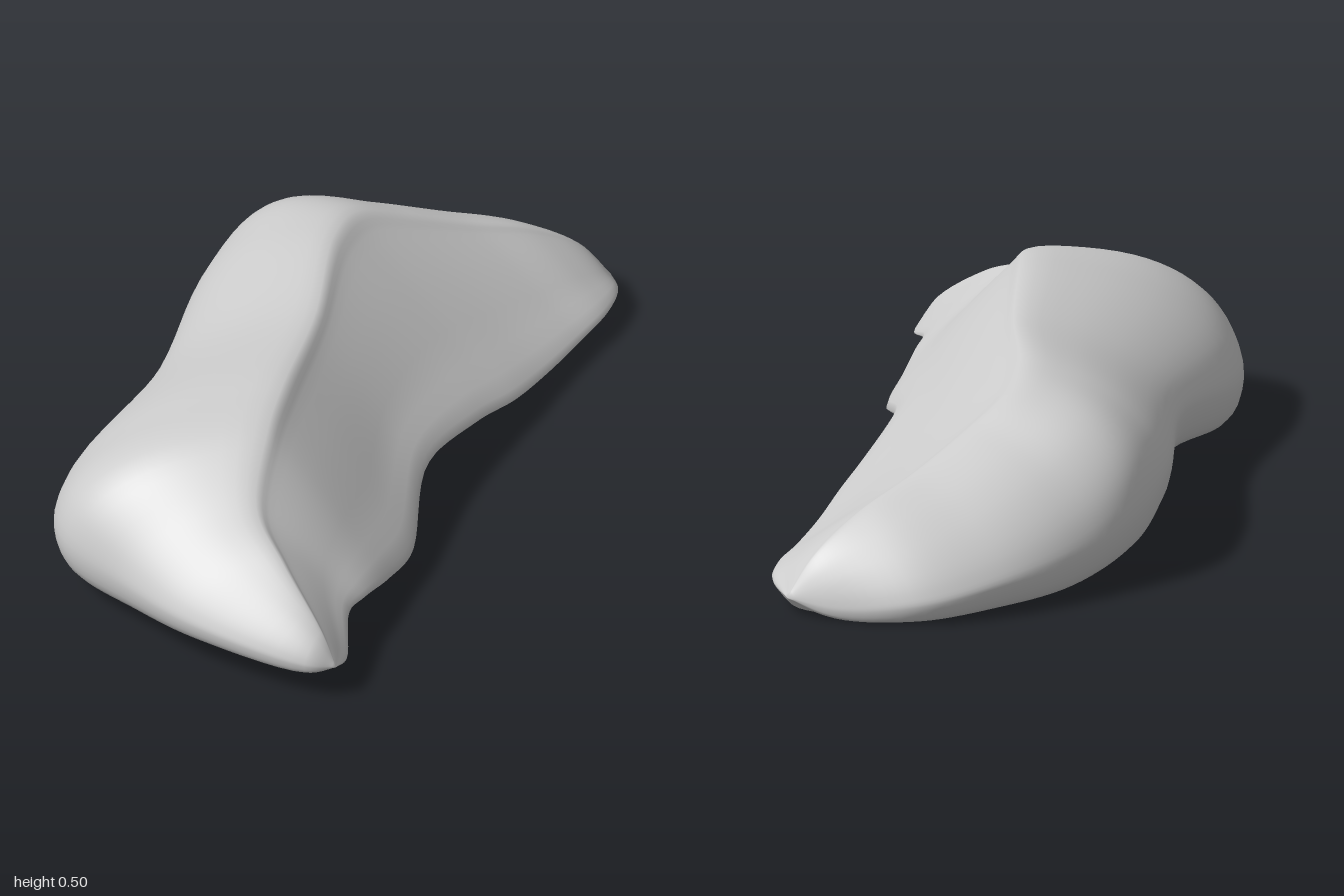
import * as THREE from 'three';

// Cross-sections along the crest, from the front-left spur to the right tip:
// front foot [x, y, z], crest [x, y, z], back foot [x, y, z, fullness of the back slope]
const SECTIONS = [
  [[-0.64, 0.08, 0.79], [-0.70, 0.17, 0.76], [-0.77, 0.08, 0.785, 1.5]],
  [[-0.54, 0.12, 0.66], [-0.70, 0.29, 0.58], [-0.93, 0.085, 0.49, 1.5]],
  [[-0.45, 0.11, 0.61], [-0.67, 0.36, 0.42], [-0.975, 0.07, 0.25, 1.8]],
  [[-0.33, 0.08, 0.54], [-0.53, 0.47, 0.27], [-1.0, 0.06, 0.0, 2.1]],
  [[-0.20, 0.07, 0.46], [-0.40, 0.495, 0.15], [-0.86, 0.03, -0.20, 1.8]],
  [[0.00, 0.145, 0.24], [-0.12, 0.48, -0.10], [-0.42, 0.1, -0.41, 1.6]],
  [[0.27, 0.115, 0.10], [0.13, 0.49, -0.37], [-0.07, 0.1, -0.70, 1.8]],
  [[0.42, 0.085, 0.04], [0.27, 0.465, -0.46], [0.15, 0.07, -0.815, 2.2]],
  [[0.58, 0.065, -0.04], [0.43, 0.395, -0.46], [0.37, 0.03, -0.82, 1.8]],
  [[0.74, 0.06, -0.12], [0.60, 0.32, -0.44], [0.61, 0.02, -0.77, 1.5]],
  [[0.88, 0.065, -0.19], [0.78, 0.25, -0.41], [0.81, 0.01, -0.67, 1.4]],
  [[0.96, 0.065, -0.26], [0.92, 0.16, -0.38], [0.94, 0.01, -0.49, 1.4]],
];
const SPUR_TIP = new THREE.Vector3(-0.695, 0.09, 0.82);
const RIGHT_TIP = new THREE.Vector3(1, 0.05, -0.35);
const AROUND = 56;
const ALONG = 90;

// Closed outline: sloping front face, rounded back, uneven underside
function sectionLoop([foot, crest, [backX, base, backZ, fullness]], i) {
  const u = i / (SECTIONS.length - 1);
  const under = 0.08 - 0.07 * u;
  const F = new THREE.Vector3(...foot);
  const C = new THREE.Vector3(...crest);
  const B = new THREE.Vector3(backX, base + 0.02 + 0.09 * Math.sin(Math.PI * u), backZ);
  const pts = [F];
  for (const t of [0.3, 0.6, 0.88]) {
    const p = F.clone().lerp(C, t);
    p.y += 0.04 * (C.y - F.y) * Math.sin(Math.PI * t);
    pts.push(p);
  }
  pts.push(C);
  for (const t of [0.3, 0.6, 0.82, 0.95]) {
    const p = C.clone().lerp(B, t);
    p.y = B.y + (C.y - B.y) * Math.pow(1 - Math.pow(t, fullness), 1 / fullness);
    pts.push(p);
  }
  pts.push(B);
  const addLow = (t, y) => pts.push(B.clone().lerp(F, t).setY(y));
  addLow(0.05, base);
  addLow(0.35, THREE.MathUtils.lerp(base, under, 0.6));
  addLow(0.65, under);
  addLow(0.9, under + (F.y - under) * 0.6);
  return new THREE.CatmullRomCurve3(pts, true, 'centripetal').getPoints(AROUND);
}

function boulderGeometry() {
  const loops = SECTIONS.map(sectionLoop);
  const position = [];
  const index = [];
  // Smooth curve lengthwise through matching points of every section
  const strands = Array.from({ length: AROUND }, (_, j) =>
    new THREE.CatmullRomCurve3([SPUR_TIP, ...loops.map((l) => l[j]), RIGHT_TIP], false, 'centripetal'));
  for (let i = 1; i < ALONG; i++) {
    for (const s of strands) position.push(...s.getPoint(i / ALONG).toArray());
  }
  const start = (ALONG - 1) * AROUND;
  const end = start + 1;
  const last = start - AROUND;
  position.push(...SPUR_TIP.toArray(), ...RIGHT_TIP.toArray());
  for (let j = 0; j < AROUND; j++) {
    const k = (j + 1) % AROUND;
    for (let a = 0; a < last; a += AROUND) {
      const b = a + AROUND;
      index.push(a + j, b + j, b + k, a + j, b + k, a + k);
    }
    // Pointed ends
    index.push(start, j, k, end, last + k, last + j);
  }
  const g = new THREE.BufferGeometry();
  g.setAttribute('position', new THREE.Float32BufferAttribute(position, 3));
  g.setIndex(index);
  g.computeBoundingBox();
  g.translate(0, -g.boundingBox.min.y, 0);
  g.computeVertexNormals();
  return g;
}

export function createModel() {
  const group = new THREE.Group();
  group.name = 'rock';
  const boulder = new THREE.Mesh(
    boulderGeometry(),
    new THREE.MeshStandardMaterial({ color: 0xcccccc }),
  );
  boulder.name = 'boulder';
  group.add(boulder);
  return group;
}
